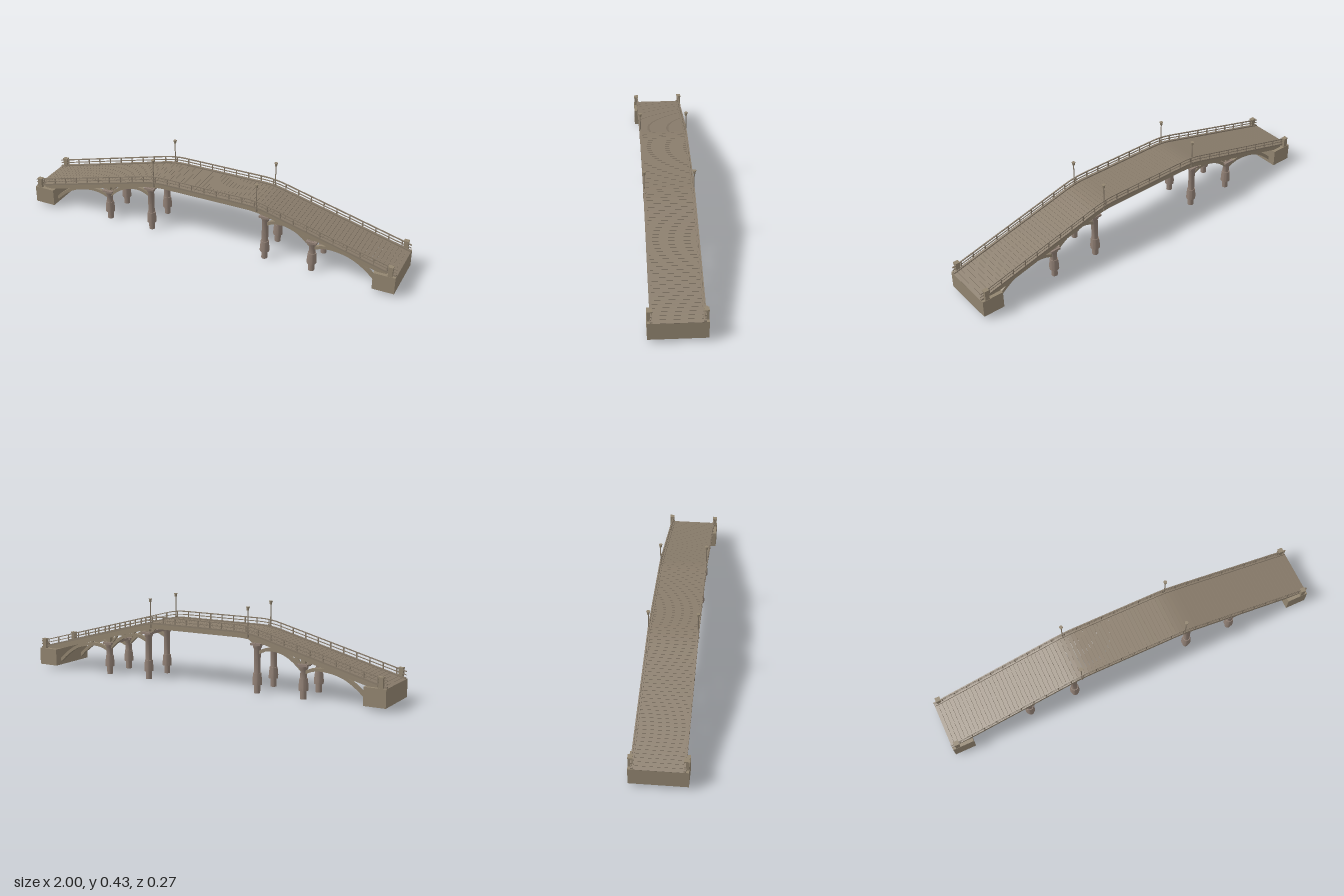
import * as THREE from 'three';
import { toCreasedNormals } from 'three/addons/utils/BufferGeometryUtils.js';

const material = (name, color) => {
  const m = new THREE.MeshStandardMaterial({ color });
  m.name = name;
  return m;
};

// Deck height: flat middle, rounded knees, straight ramps
const TOP = 0.297, SLOPE = 0.265, K0 = 0.22, K1 = 0.34;
function deckY(x) {
  const a = Math.abs(x);
  if (a <= K0) return TOP;
  if (a <= K1) return TOP - SLOPE * (a - K0) ** 2 / (2 * (K1 - K0));
  return TOP - SLOPE * (K1 - K0) / 2 - SLOPE * (a - K1);
}
const deckAngle = x => Math.atan((deckY(x + 0.005) - deckY(x - 0.005)) / 0.01);

export function createModel() {
  const root = new THREE.Group();
  root.name = 'footbridge';
  const stone = material('stone', 0x928570);
  const pierStone = material('pier stone', 0x918075);
  const timber = material('timber', 0x8a7d6c);

  function add(name, geometry, mat, x = 0, y = 0, z = 0, rotZ = 0) {
    const mesh = new THREE.Mesh(geometry, mat);
    mesh.name = name;
    mesh.position.set(x, y, z);
    mesh.rotation.z = rotZ;
    root.add(mesh);
    return mesh;
  }
  const box = (name, w, h, d, mat, x, y, z, rotZ) =>
    add(name, new THREE.BoxGeometry(w, h, d), mat, x, y, z, rotZ);

  // Bar between two points in a plane of constant z
  function bar(name, x0, y0, x1, y1, thick, width, z, mat) {
    box(name, Math.hypot(x1 - x0, y1 - y0), thick, width, mat,
      (x0 + x1) / 2, (y0 + y1) / 2, z, Math.atan2(y1 - y0, x1 - x0));
  }

  // Flat outline extruded along z, centred on z
  function slab(name, points, width, z, mat) {
    const shape = new THREE.Shape(points);
    const g = new THREE.ExtrudeGeometry(shape, { depth: width, bevelEnabled: false, curveSegments: 1 });
    add(name, g, mat, 0, 0, z - width / 2);
  }

  // Beam which follows the deck, between two height offsets
  function deckBeam(name, end, low, high, width, z, mat) {
    const xs = [-end, -0.34, -0.31, -0.28, -0.25, -0.22, 0.22, 0.25, 0.28, 0.31, 0.34, end];
    const lower = xs.map(x => new THREE.Vector2(x, deckY(x) + low));
    const upper = xs.map(x => new THREE.Vector2(x, deckY(x) + high)).reverse();
    slab(name, [...lower, ...upper], width, z, mat);
  }

  // Curved rib through a few points
  function rib(points, mirror, z) {
    const curve = new THREE.CatmullRomCurve3(points.map(([x, y]) => new THREE.Vector3(x, y, 0)));
    const outer = [], inner = [];
    for (let i = 0; i <= 16; i++) {
      const p = curve.getPoint(i / 16), t = curve.getTangent(i / 16);
      outer.push(new THREE.Vector2(mirror * (p.x - t.y * 0.008), p.y + t.x * 0.008));
      inner.push(new THREE.Vector2(mirror * (p.x + t.y * 0.008), p.y - t.x * 0.008));
    }
    slab('archRib', [...outer, ...inner.reverse()], 0.018, z, stone);
  }

  // Deck planks
  const pitch = 0.02;
  for (let i = 0; i < 100; i++) {
    const x = -0.99 + i * pitch;
    const a = deckAngle(x);
    box('deckPlank', 0.0188 / Math.cos(a), 0.008, 0.224, timber, x, deckY(x) - 0.004, 0, a);
  }

  // Cross joists under the planks
  for (let i = -12; i <= 12; i++) {
    const x = i * 0.07;
    box('crossJoist', 0.012, 0.016, 0.2, timber, x, deckY(x) - 0.017, 0, deckAngle(x));
  }

  for (const s of [-1, 1]) {
    // Girders, kerbs and handrails on both sides
    deckBeam('girder', 0.93, -0.028, -0.006, 0.016, s * 0.086, stone);
    deckBeam('edgeBeam', 0.95, -0.026, -0.002, 0.01, s * 0.113, stone);
    deckBeam('kerb', 0.998, -0.002, 0.007, 0.012, s * 0.117, timber);
    deckBeam('middleRail', 1, 0.018, 0.022, 0.004, s * 0.119, timber);
    deckBeam('topRail', 1, 0.034, 0.039, 0.006, s * 0.119, timber);
    for (let i = -14; i <= 14; i++) {
      const x = i * 0.068;
      box('railPost', 0.005, 0.036, 0.005, timber, x, deckY(x) + 0.018, s * 0.119);
    }
  }

  const lathe = (points, n) => toCreasedNormals(
    new THREE.LatheGeometry(points.map(p => new THREE.Vector2(...p)), n), 0.6);

  // Round pier with a wide sleeve above a narrow foot
  const pier = top => lathe([
    [0, 0], [0.0155, 0], [0.0155, 0.042], [0.024, 0.042], [0.024, 0.062], [0.02, 0.1],
    [0.0165, 0.1], [0.0165, top - 0.024], [0.022, top - 0.014], [0.022, top], [0, top],
  ], 20);

  const arches = [
    [[-0.9, 0.035], [-0.84, 0.088], [-0.77, 0.13], [-0.68, 0.15], [-0.62, 0.147], [-0.575, 0.13]],
    [[-0.56, 0.14], [-0.515, 0.18], [-0.47, 0.207], [-0.41, 0.222], [-0.365, 0.218], [-0.325, 0.2]],
  ];

  for (const m of [-1, 1]) {
    // Abutments
    box('abutment', 0.11, 0.089, 0.272, stone, m * 0.945, 0.0615, 0);

    // Cap beams joining each pair of piers
    for (const [x, top] of [[0.567, 0.165], [0.318, 0.242]]) {
      box('capBeam', 0.034, 0.014, 0.2, pierStone, m * x, top, 0);
    }

    for (const s of [-1, 1]) {
      const z = s * 0.086;
      // End posts on the abutments
      box('endPost', 0.022, 0.048, 0.02, stone, m * 0.972, 0.13, s * 0.125);
      box('endPostCap', 0.026, 0.006, 0.023, stone, m * 0.972, 0.156, s * 0.1245);

      // Piers, bearing blocks and splayed braces
      for (const [x, top] of [[0.567, 0.165], [0.318, 0.242]]) {
        add('pier', pier(top), pierStone, m * x, 0, z);
        box('pierCap', 0.054, 0.01, 0.048, pierStone, m * x, top, z);
        const under = deckY(x) - 0.015;
        box('bearing', 0.022, under - top, 0.022, stone, m * x, (under + top) / 2, z);
        for (const d of [-0.055, 0.055]) {
          bar('brace', m * (x + d * 0.25), top, m * (x + d), deckY(x + d) - 0.02, 0.009, 0.012, z, stone);
        }
      }

      // Arch ribs with short uprights to the girder
      for (const points of arches) rib(points, -m, z);
      for (const [x, y] of [[0.77, 0.13], [0.68, 0.15], [0.47, 0.207], [0.41, 0.222]]) {
        const top = deckY(x) - 0.02;
        if (top > y) box('spandrelPost', 0.009, top - y, 0.012, stone, m * x, (top + y) / 2, z);
      }

      // Lamps at the knees
      const lx = m * 0.282, lz = s * 0.119;
      add('lampPole', new THREE.CylinderGeometry(0.0025, 0.003, 0.13, 8), timber, lx, 0.345, lz);
      add('lampBase', new THREE.CylinderGeometry(0.005, 0.006, 0.03, 8), timber, lx, 0.29, lz);
      add('lampHead', new THREE.CylinderGeometry(0.0075, 0.006, 0.014, 8), stone, lx, 0.415, lz);
      add('lampCap', new THREE.CylinderGeometry(0.0095, 0.0095, 0.003, 8), stone, lx, 0.4235, lz);
    }
  }
  return root;
}
